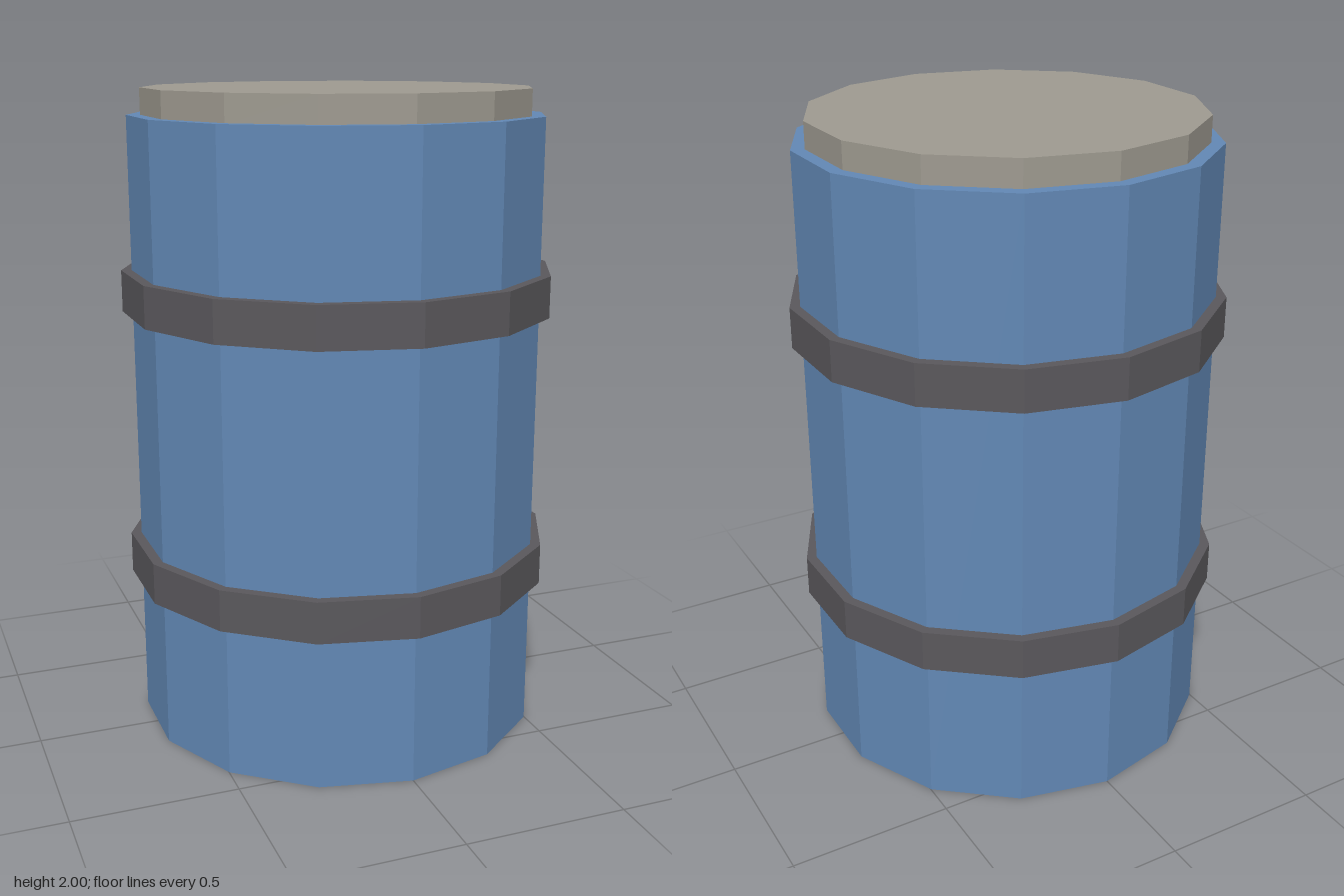
import * as THREE from 'three';

const SIDES = 14;

// Faceted, closed drum section between two heights
function section(name, radius, bottom, top, color) {
  const geometry = new THREE.CylinderGeometry(radius, radius, top - bottom, SIDES);
  const material = new THREE.MeshStandardMaterial({ color, flatShading: true });
  const mesh = new THREE.Mesh(geometry, material);
  mesh.name = name;
  mesh.position.y = (bottom + top) / 2;
  return mesh;
}

export function createModel() {
  const barrel = new THREE.Group();
  barrel.name = 'barrel';

  // Main drum and the smaller lid on top
  barrel.add(section('body', 0.638, 0, 1.92, 0x6288b5));
  barrel.add(section('lid', 0.596, 1.915, 2, 0x9e9a90));

  // Reinforcing hoops
  barrel.add(section('lowerHoop', 0.67, 0.472, 0.6, 0x5a585c));
  barrel.add(section('upperHoop', 0.67, 1.325, 1.453, 0x5a585c));

  return barrel;
}
